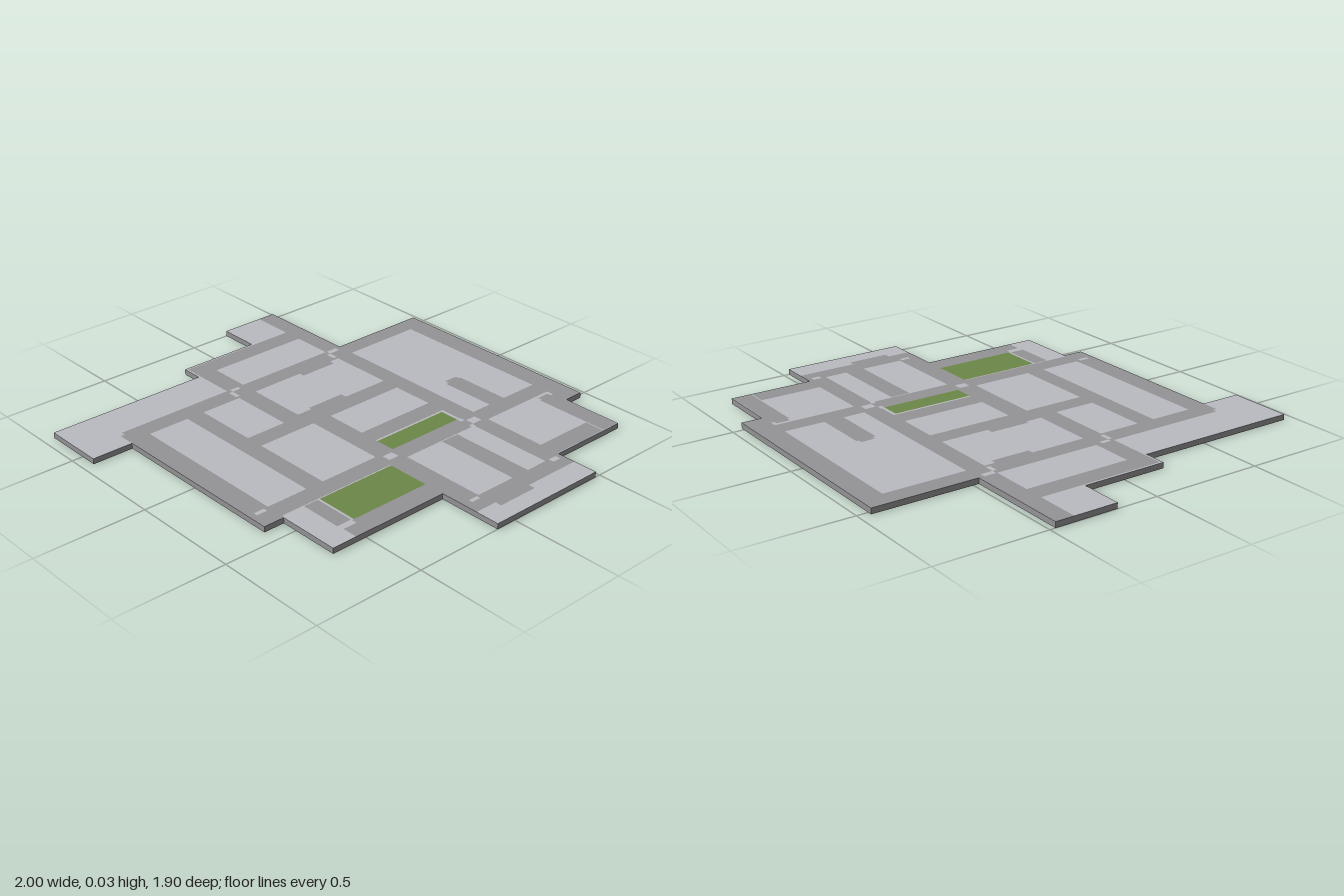
import * as THREE from 'three';

const TOP = 0.025;

// Slab outline as [x, z] corners
const OUTLINE = [
  [-0.52, -0.95], [0.52, -0.95], [0.52, -0.855], [0.805, -0.855], [0.805, -0.475],
  [1, -0.475], [1, 0.095], [0.71, 0.095], [0.71, 0.665], [0.43, 0.665],
  [0.43, 0.76], [-0.42, 0.76], [-0.42, 0.95], [-0.71, 0.95], [-0.71, 0.195],
  [-0.81, 0.195], [-0.81, -0.19], [-1, -0.19], [-1, -0.475], [-0.52, -0.475],
];

// Rectangles are [x0, z0, x1, z1]
const STREETS_ACROSS = [
  [-0.52, -0.95, 0.52, -0.85],
  [0.45, -0.85, 0.8, -0.765], [0.43, -0.835, 0.45, -0.775],
  [0.07, -0.665, 0.33, -0.575], [0.05, -0.655, 0.07, -0.59],
  [-1, -0.475, 0.89, -0.39],
  [0.42, -0.285, 0.81, -0.195],
  [-0.15, 0, 0.89, 0.095],
  [-0.8, 0.095, -0.05, 0.185],
  [-0.52, 0.38, 0.415, 0.465],
  [0.42, 0.485, 0.61, 0.555], [0.64, 0.485, 0.71, 0.55],
  [-0.5, 0.66, 0.43, 0.76], [-0.52, 0.66, -0.5, 0.74],
];
const STREETS_ALONG = [
  [-0.52, -0.95, -0.435, 0.72],
  [-0.435, -0.34, -0.41, -0.16],
  [0.33, -0.95, 0.415, 0.72],
  [0.71, -0.76, 0.8, -0.47],
  [-0.8, -0.47, -0.71, 0.185],
  [-0.135, -0.39, -0.05, 0.38],
  [-0.165, -0.165, -0.135, 0.02],
  [0.145, -0.39, 0.23, 0],
  [0.81, -0.47, 0.89, 0.08],
  [0.89, -0.2, 0.92, -0.01],
  [0.615, 0.095, 0.71, 0.485],
];
// Small bare patches at the crossings
const PATCHES = [
  [-0.52, -0.45, -0.495, -0.395], [-0.495, -0.395, -0.45, -0.375],
  [-0.52, 0.125, -0.5, 0.17], [-0.5, 0.17, -0.45, 0.19],
  [0.36, -0.45, 0.4, -0.4], [0.33, -0.395, 0.355, -0.375], [0.4, -0.395, 0.42, -0.375],
  [0.345, 0.02, 0.385, 0.07], [0.33, 0.68, 0.35, 0.73],
  [0.81, -0.45, 0.835, -0.41], [0.81, 0.01, 0.83, 0.055],
];
const LAWNS = [[0.24, -0.375, 0.33, 0], [0.42, 0.095, 0.615, 0.475]];

function insideOutline(x, z) {
  let inside = false;
  OUTLINE.forEach(([ax, az], i) => {
    const [bx, bz] = OUTLINE[(i + 1) % OUTLINE.length];
    if ((az > z) !== (bz > z) && x < ax + ((z - az) / (bz - az)) * (bx - ax)) inside = !inside;
  });
  return inside;
}

const covers = (rects, x, z) =>
  rects.some(([x0, z0, x1, z1]) => x > x0 && x < x1 && z > z0 && z < z1);

const sortedUnique = (values) => [...new Set(values)].sort((a, b) => a - b);

function pushQuad(list, a, b, c, d) {
  list.push(...a, ...b, ...c, ...a, ...c, ...d);
}

function addMesh(group, name, positions, material) {
  const geometry = new THREE.BufferGeometry();
  geometry.setAttribute('position', new THREE.Float32BufferAttribute(positions, 3));
  geometry.computeVertexNormals();
  const mesh = new THREE.Mesh(geometry, material);
  mesh.name = name;
  group.add(mesh);
}

function makeMaterial(name, color) {
  const material = new THREE.MeshStandardMaterial({ color, side: THREE.DoubleSide });
  material.name = name;
  return material;
}

export function createModel() {
  const group = new THREE.Group();
  group.name = 'cityGround';
  const pavementGrey = makeMaterial('pavementGrey', 0xbabbc1);
  const roadGrey = makeMaterial('roadGrey', 0x949497);
  const lawnGreen = makeMaterial('lawnGreen', 0x6c8747);

  // Top sheet: every cell of the shared grid goes to exactly one surface
  const streets = [...STREETS_ACROSS, ...STREETS_ALONG];
  const rects = [...streets, ...PATCHES, ...LAWNS];
  const xs = sortedUnique([...OUTLINE.map((p) => p[0]), ...rects.flatMap((r) => [r[0], r[2]])]);
  const zs = sortedUnique([...OUTLINE.map((p) => p[1]), ...rects.flatMap((r) => [r[1], r[3]])]);
  const pavement = [], roads = [], lawns = [];
  for (let i = 0; i < xs.length - 1; i++) {
    for (let j = 0; j < zs.length - 1; j++) {
      const [x0, x1, z0, z1] = [xs[i], xs[i + 1], zs[j], zs[j + 1]];
      const x = (x0 + x1) / 2, z = (z0 + z1) / 2;
      if (!insideOutline(x, z)) continue;
      let target = pavement;
      if (covers(LAWNS, x, z)) target = lawns;
      else if (covers(streets, x, z) && !covers(PATCHES, x, z)) target = roads;
      pushQuad(target, [x0, TOP, z0], [x0, TOP, z1], [x1, TOP, z1], [x1, TOP, z0]);
    }
  }
  addMesh(group, 'pavement', pavement, pavementGrey);
  addMesh(group, 'roads', roads, roadGrey);
  addMesh(group, 'lawns', lawns, lawnGreen);

  // Skirt hanging from the rim, open underneath
  const skirt = [];
  OUTLINE.forEach(([ax, az], i) => {
    const [bx, bz] = OUTLINE[(i + 1) % OUTLINE.length];
    pushQuad(skirt, [ax, 0, az], [ax, TOP, az], [bx, TOP, bz], [bx, 0, bz]);
  });
  addMesh(group, 'skirt', skirt, roadGrey);

  return group;
}
